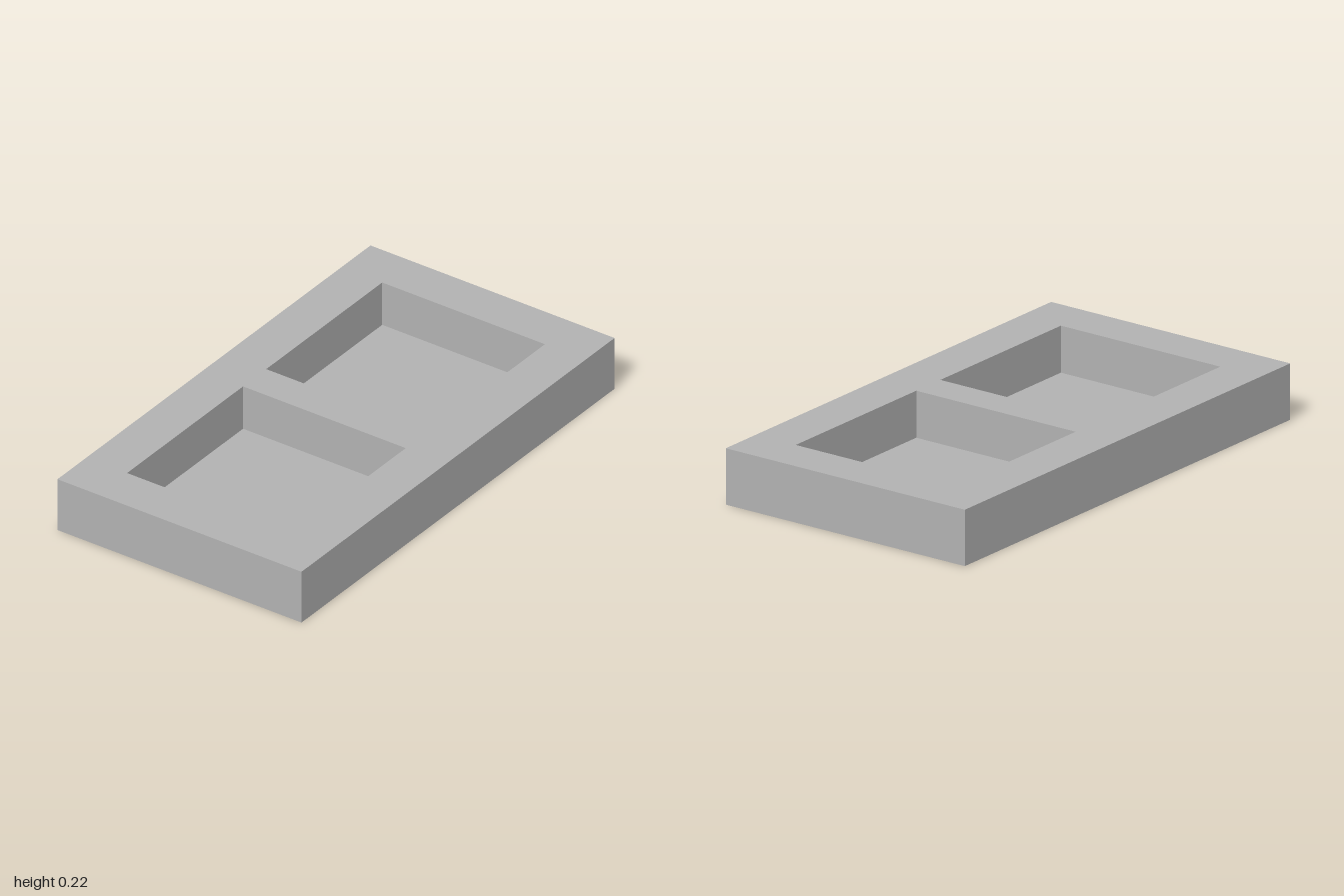
import * as THREE from 'three';

const U = 2 / 27; // design unit: the block is 27 x 3 x 15 units
const W = 27 * U, H = 3 * U, D = 15 * U;
const POCKET = 10 * U, DEPTH = 2.5 * U, POCKET_X = 6 * U;

// Box without its top face; inside = true turns the faces inwards
function openBox(w, h, d, inside) {
  const geo = new THREE.BoxGeometry(w, h, d);
  const index = Array.from(geo.index.array);
  index.splice(12, 6);
  if (inside) index.reverse();
  geo.setIndex(index);
  geo.clearGroups();
  geo.computeVertexNormals();
  return geo;
}

// Rectangle outline centred on (x, 0)
function rectangle(path, x, w, d) {
  path.moveTo(x - w / 2, -d / 2);
  path.lineTo(x + w / 2, -d / 2);
  path.lineTo(x + w / 2, d / 2);
  path.lineTo(x - w / 2, d / 2);
  path.closePath();
  return path;
}

export function createModel() {
  const group = new THREE.Group();
  group.name = 'twoPocketTray';
  const grey = new THREE.MeshStandardMaterial({ color: 0xb2b2b2 });
  grey.name = 'grey';

  const add = (name, geo, x, y) => {
    const mesh = new THREE.Mesh(geo, grey);
    mesh.name = name;
    mesh.position.set(x, y, 0);
    group.add(mesh);
  };

  // Outer walls and underside
  add('outerShell', openBox(W, H, D, false), 0, H / 2);

  // Top rim with two square openings
  const rim = rectangle(new THREE.Shape(), 0, W, D);
  for (const side of [-1, 1]) {
    rim.holes.push(rectangle(new THREE.Path(), side * POCKET_X, POCKET, POCKET));
  }
  add('topRim', new THREE.ShapeGeometry(rim).rotateX(-Math.PI / 2), 0, H);

  // Recessed pockets: inner walls and floor
  for (const [name, side] of [['rightPocket', -1], ['leftPocket', 1]]) {
    add(name, openBox(POCKET, DEPTH, POCKET, true), side * POCKET_X, H - DEPTH / 2);
  }
  return group;
}
